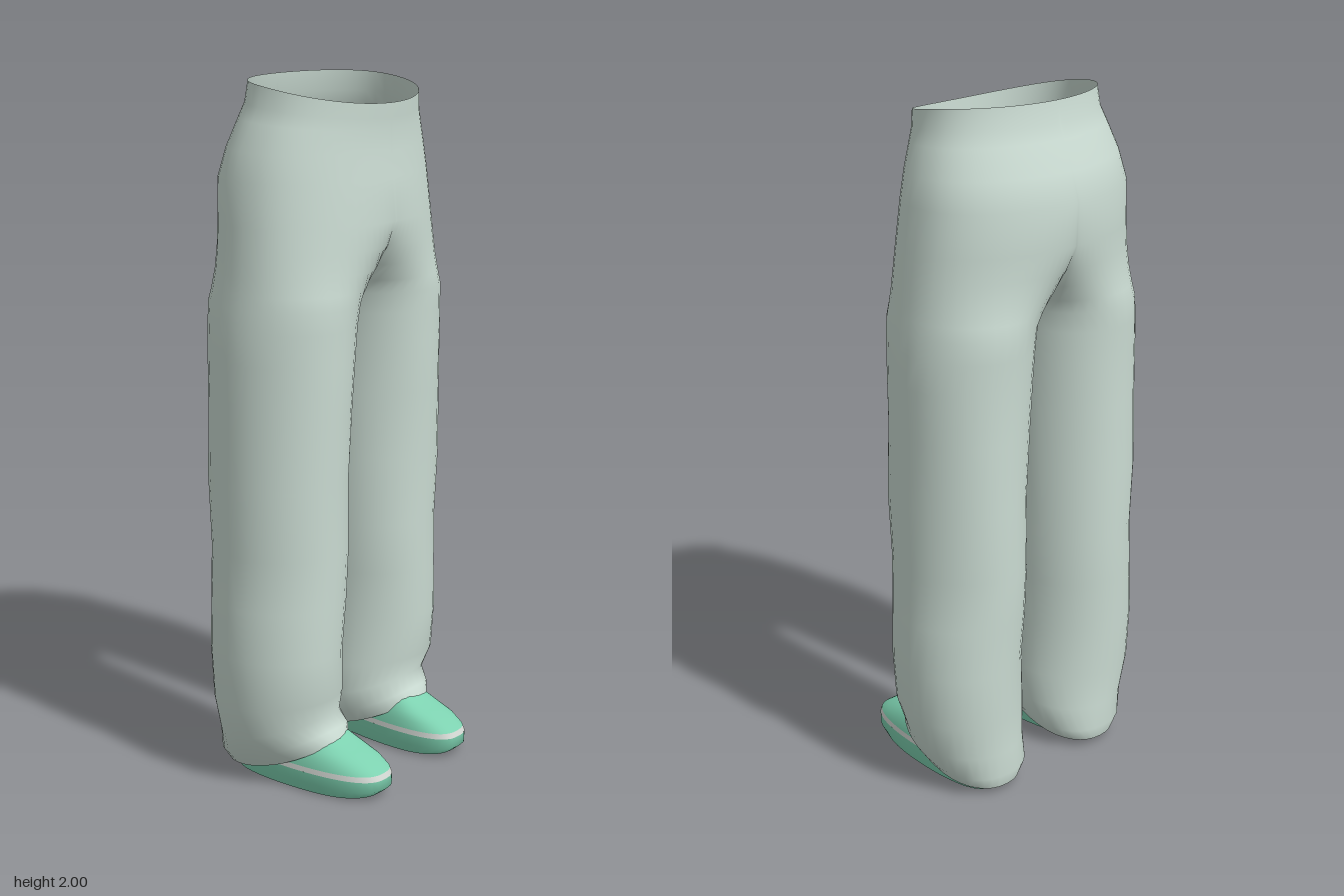
import * as THREE from 'three';
import { mergeVertices, mergeGeometries } from 'three/addons/utils/BufferGeometryUtils.js';

const SEG = 36;

// Joins rows of points (listed bottom to top) into a skin; flip mirrors it across x = 0
function loft(rows, flip = false) {
  const pos = [], index = [], n = rows[0].length;
  for (const row of rows) for (const p of row) pos.push(flip ? -p[0] : p[0], p[1], p[2]);
  for (let j = 0; j < rows.length - 1; j++) {
    for (let i = 0; i < n - 1; i++) {
      const a = j * n + i, b = a + 1, c = b + n, d = a + n;
      if (flip) index.push(a, c, b, a, d, c);
      else index.push(a, b, c, a, c, d);
    }
  }
  const g = new THREE.BufferGeometry();
  g.setAttribute('position', new THREE.Float32BufferAttribute(pos, 3));
  g.setIndex(index);
  return g;
}

function smooth(g) {
  const merged = mergeVertices(g, 1e-4);
  merged.computeVertexNormals();
  return merged;
}

const bulge = (v, e) => Math.sign(v) * Math.pow(Math.abs(v), e);

// One trouser ring: split = 0 is half of the hip oval, split = 1 is a closed leg
function trouserRing([yFront, yBack, xIn, xOut, zFront, zBack, split]) {
  const ring = [];
  const zc = (zFront + zBack) / 2, rz = (zFront - zBack) / 2;
  const cx = (xIn + xOut) / 2, rx = (xOut - xIn) / 2;
  const square = yBack < 0.1 ? 0.85 : 1; // the hem is boxier, to wrap the shoe
  for (let i = 0; i <= SEG; i++) {
    const u = i / SEG, b = 2 * Math.PI * u;
    // Hip points are spaced to lie in front of and behind the matching leg points
    const near = Math.pow(2 * Math.min(u, 1 - u), 1.585) * Math.PI / 2;
    const a = u < 0.5 ? near : Math.PI - near;
    const fold = yFront < 1.3 && yFront > 0.25 ? 1 + 0.012 * Math.sin(3 * b + yFront * 8) : 1;
    const hipX = xOut * Math.sin(a), hipZ = zc + rz * bulge(Math.cos(a), 0.9);
    const legX = cx - rx * fold * bulge(Math.cos(b), square);
    const legZ = zc + rz * fold * bulge(Math.sin(b), square);
    const x = i === 0 || i === SEG ? xIn : hipX + (legX - hipX) * split;
    const z = hipZ + (legZ - hipZ) * split;
    const s = Math.min(1, Math.max(0, (z - zBack) / (zFront - zBack)));
    ring.push([x, yBack + (yFront - yBack) * s * s, z]);
  }
  return ring;
}

// yFront, yBack, xIn, xOut, zFront, zBack, split
const TROUSERS = [
  [0.14, 0.02, 0.078, 0.315, 0.15, -0.24, 1],
  [0.175, 0.06, 0.052, 0.345, 0.135, -0.25, 1],
  [0.21, 0.13, 0.04, 0.375, 0.11, -0.243, 1],
  [0.27, 0.24, 0.038, 0.40, 0.13, -0.25, 1],
  [0.40, 0.40, 0.05, 0.408, 0.137, -0.255, 1],
  [0.55, 0.55, 0.04, 0.402, 0.142, -0.26, 1],
  [0.70, 0.70, 0.035, 0.392, 0.147, -0.265, 1],
  [0.90, 0.90, 0.032, 0.40, 0.15, -0.265, 1],
  [1.10, 1.10, 0.025, 0.39, 0.157, -0.267, 1],
  [1.25, 1.25, 0.018, 0.392, 0.162, -0.27, 1],
  [1.34, 1.34, 0.008, 0.388, 0.165, -0.273, 1],
  [1.40, 1.40, 0, 0.383, 0.17, -0.275, 1],
  [1.44, 1.44, 0, 0.378, 0.178, -0.28, 0.65],
  [1.49, 1.49, 0, 0.373, 0.185, -0.285, 0.32],
  [1.55, 1.55, 0, 0.367, 0.189, -0.29, 0.12],
  [1.62, 1.62, 0, 0.36, 0.19, -0.297, 0],
  [1.74, 1.74, 0, 0.347, 0.18, -0.302, 0],
  [1.81, 1.82, 0, 0.33, 0.172, -0.277, 0],
  [1.87, 1.90, 0, 0.302, 0.17, -0.245, 0],
  [1.90, 1.94, 0, 0.286, 0.172, -0.23, 0],
  [1.94, 2.00, 0, 0.278, 0.174, -0.222, 0],
];

// Shoe outline at one height, from angle -arc to arc around the toe; lift raises the toe
function shoeRing([y, zFront, zBack, halfWidth, lift], arc) {
  const ring = [], zc = (zFront + zBack) / 2, rz = (zFront - zBack) / 2;
  for (let i = 0; i <= SEG; i++) {
    const a = (i / SEG * 2 - 1) * arc;
    const s = Math.cos(a);
    const w = halfWidth * (0.94 + 0.08 * s * s + 0.04 * s);
    ring.push([0.198 - 0.014 * s + w * bulge(Math.sin(a), 0.75),
      y + lift * Math.max(0, s) ** 4, zc + rz * s]);
  }
  return ring;
}

// y, zFront, zBack, halfWidth, toe lift
const SOLE = [
  [0, 0.28, -0.2, 0.095, 0.012],
  [0.03, 0.302, -0.205, 0.104, 0],
  [0.062, 0.302, -0.208, 0.105, 0],
];
const UPPER = [
  SOLE[2],
  [0.077, 0.295, -0.206, 0.103, 0],
  [0.1, 0.262, -0.17, 0.099, 0],
  [0.122, 0.205, -0.12, 0.09, 0],
  [0.145, 0.15, -0.06, 0.078, 0],
  [0.172, 0.115, -0.04, 0.055, 0],
];

export function createModel() {
  const model = new THREE.Group();
  model.name = 'trousersAndShoes';
  const material = (name, color) => {
    const m = new THREE.MeshStandardMaterial({ color, side: THREE.DoubleSide });
    m.name = name;
    return m;
  };
  const cloth = material('paleSageCloth', 0xcbdcd3);
  const green = material('mintGreen', 0x7dd1b0);
  const pale = material('paleGreyTrim', 0xd3d8d3);

  const add = (parent, name, geometry, mat) => {
    const mesh = new THREE.Mesh(geometry, mat);
    mesh.name = name;
    parent.add(mesh);
  };

  // Trousers: two mirrored halves joined along the middle seam
  const rings = TROUSERS.map(trouserRing);
  add(model, 'trousers', smooth(mergeGeometries([loft(rings), loft(rings, true)])), cloth);

  // Shoes: a full sole, with an open upper that ends under the hem
  const sole = SOLE.map((row) => shoeRing(row, Math.PI));
  const upper = UPPER.map((row) => shoeRing(row, 2));
  const soleCentre = sole[0].map(() => [0.195, 0, 0.02]);
  const instep = upper[0].map(() => [0.195, 0.18, 0.06]);
  for (const [name, flip] of [['leftShoe', false], ['rightShoe', true]]) {
    const group = new THREE.Group();
    group.name = name;
    add(group, 'sole', smooth(loft([soleCentre, sole[0]], flip)), green);
    add(group, 'soleEdge', smooth(loft(sole, flip)), green);
    add(group, 'trimBand', smooth(loft(upper.slice(0, 2), flip)), pale);
    add(group, 'upper', smooth(loft([...upper.slice(1), instep], flip)), green);
    model.add(group);
  }
  return model;
}
